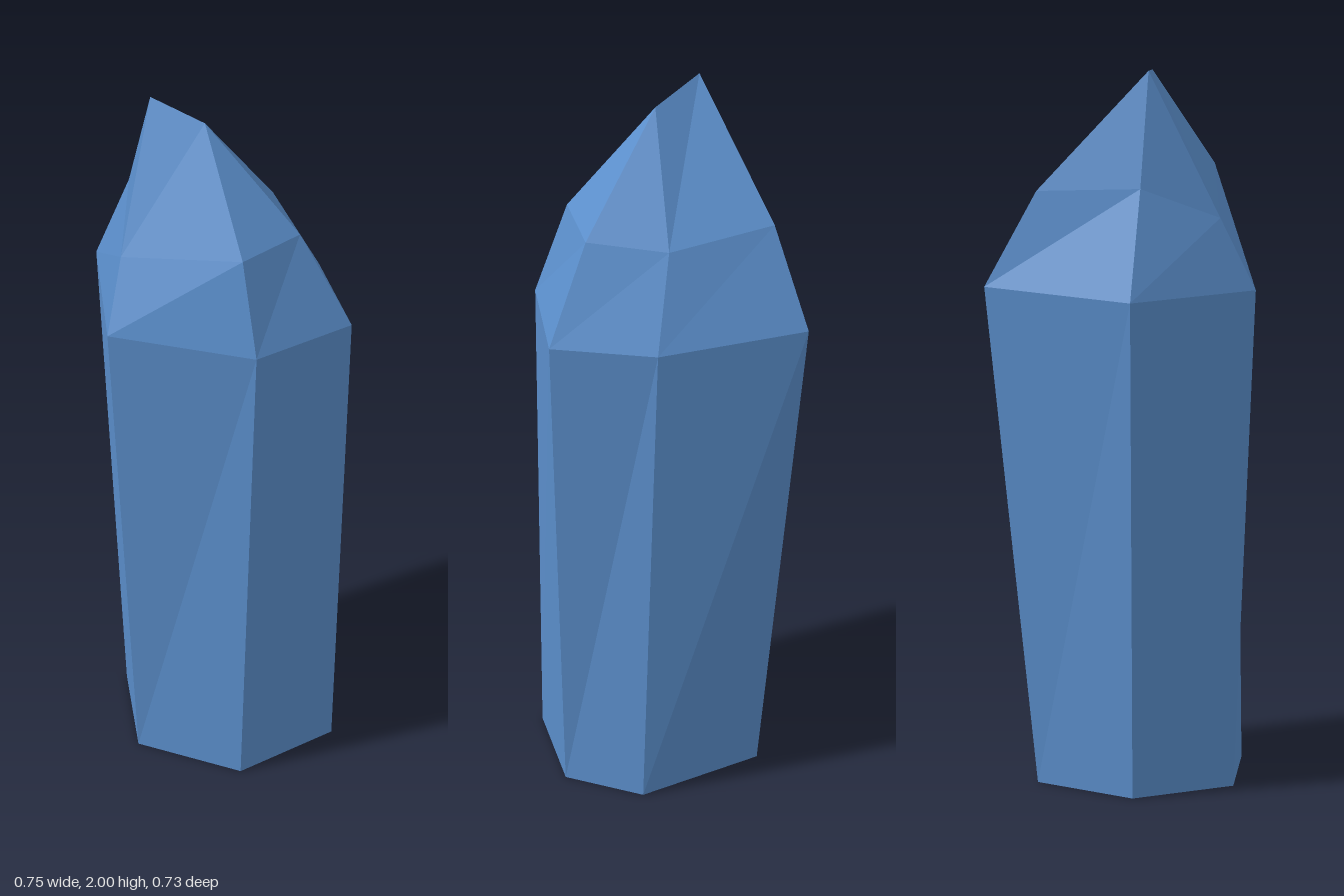
import * as THREE from 'three';

// Cross-sections of the crystal: six corners each, running right tip -> front -> left tip -> back
const BASE = [[0.315, 0, 0.04], [0.165, 0, 0.3], [-0.135, 0, 0.3], [-0.285, 0, 0.04], [-0.135, 0, -0.225], [0.22, 0, -0.165]];
const SHOULDER = [[0.375, 1.385, 0.04], [0.205, 1.385, 0.285], [-0.197, 1.395, 0.365], [-0.375, 1.4, 0.04], [-0.197, 1.39, -0.365], [0.18, 1.38, -0.18]];
const BEVEL = [[0.23, 1.655, 0.055], [0.14, 1.655, 0.23], [-0.2, 1.595, 0.27], [-0.27, 1.69, 0.06], [-0.2, 1.66, -0.225], [0.077, 1.635, -0.11]];
// The tip is a short ridge: three corners meet at each end
const HIGH = [-0.2, 2, 0.077], LOW = [-0.04, 1.96, 0.076];
const TIP = [LOW, LOW, HIGH, HIGH, HIGH, LOW];

// Faceted band between two cross-sections
function band(lower, upper) {
  const out = [];
  for (let i = 0; i < 6; i++) {
    const j = (i + 1) % 6;
    out.push(lower[j], lower[i], upper[i]);
    if (upper[i] !== upper[j]) out.push(lower[j], upper[i], upper[j]);
  }
  return out;
}

// Flat cap facing down
function floorCap(ring) {
  const out = [];
  for (let i = 1; i < 5; i++) out.push(ring[0], ring[i], ring[i + 1]);
  return out;
}

function part(name, corners, material) {
  const geometry = new THREE.BufferGeometry();
  geometry.setAttribute('position', new THREE.Float32BufferAttribute(corners.flat(), 3));
  geometry.computeVertexNormals();
  const mesh = new THREE.Mesh(geometry, material);
  mesh.name = name;
  return mesh;
}

export function createModel() {
  const crystalBlue = new THREE.MeshStandardMaterial({ color: 0x5b8fcc });
  crystalBlue.name = 'crystal blue';

  const crystal = new THREE.Group();
  crystal.name = 'crystal';
  crystal.add(
    part('shaft', [...band(BASE, SHOULDER), ...floorCap(BASE)], crystalBlue),
    part('lowerPoint', band(SHOULDER, BEVEL), crystalBlue),
    part('upperPoint', band(BEVEL, TIP), crystalBlue),
  );
  return crystal;
}
